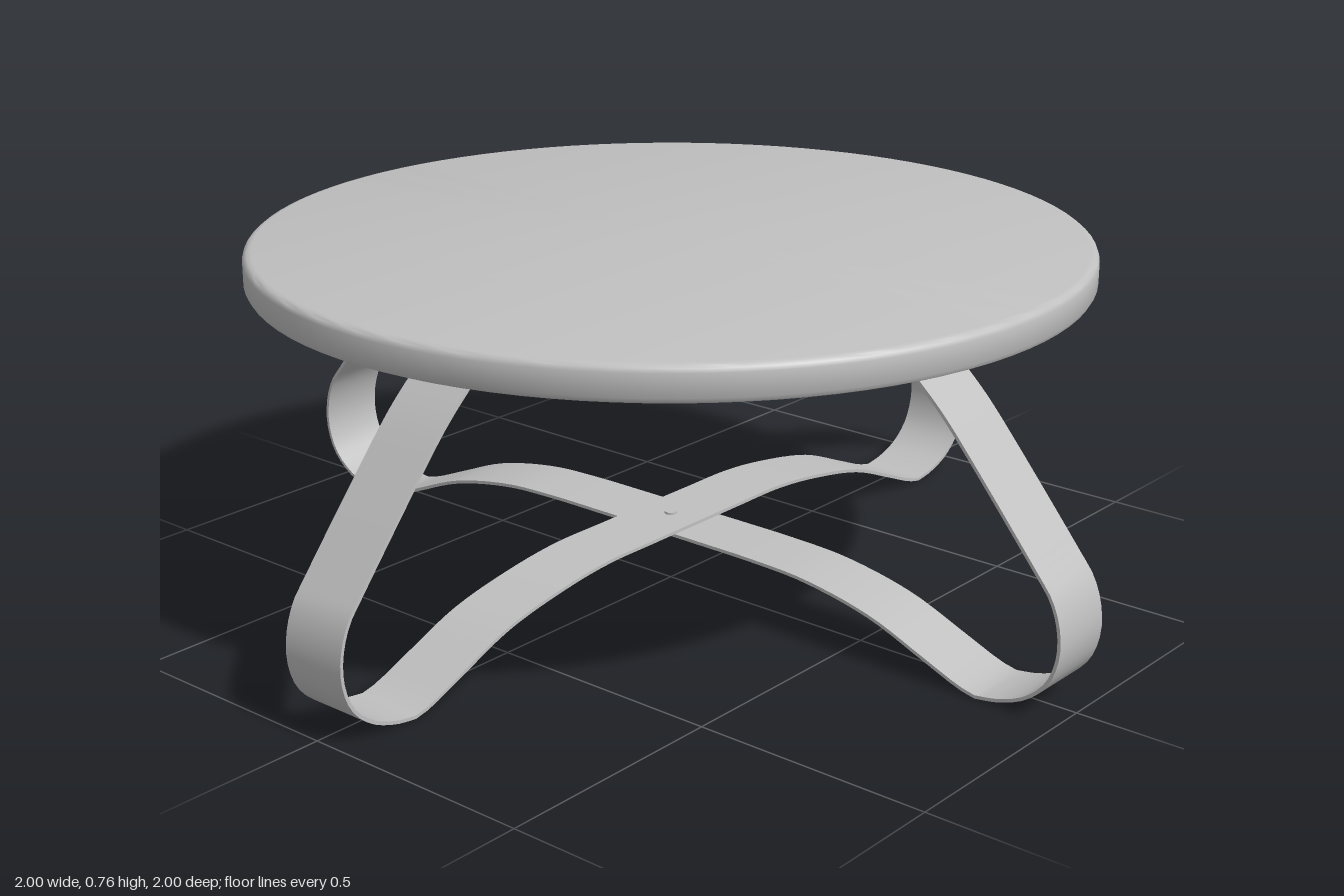
import * as THREE from 'three';
import { toCreasedNormals } from 'three/addons/utils/BufferGeometryUtils.js';

const WIDTH = 0.147, THICK = 0.007;
const grey = new THREE.MeshStandardMaterial({ color: 0xc0c0c0 });
grey.name = 'light grey';

function add(parent, name, geometry, x = 0, y = 0, z = 0) {
  const mesh = new THREE.Mesh(geometry, grey);
  mesh.name = name;
  mesh.position.set(x, y, z);
  parent.add(mesh);
  return mesh;
}

function smooth(points, divisions) {
  const curve = new THREE.CatmullRomCurve3(points.map(([x, y]) => new THREE.Vector3(x, y, 0)), false, 'centripetal');
  return curve.getSpacedPoints(divisions).map(p => new THREE.Vector2(p.x, p.y));
}

// Centre line of a whole bent strap, from one mounting end to the other
function strapPath(peak) {
  const arch = smooth([[0, peak], [0.14, peak], [0.28, peak - 0.001], [0.41, 0.13], [0.57, 0.098],
    [0.7, 0.047], [0.785, 0.013], [0.82, 0.005]], 28);
  const leg = smooth([[0.82, 0.005], [0.87, 0.013], [0.93, 0.037], [0.975, 0.08], [0.9955, 0.14], [0.992, 0.2],
    [0.973, 0.25], [0.945, 0.286], [0.745, 0.525], [0.705, 0.567], [0.65, 0.617], [0.58, 0.68]], 44);
  const half = [...arch, ...leg.slice(1), new THREE.Vector2(0.3, 0.68)];
  const mirrored = half.slice(1).reverse().map(p => new THREE.Vector2(-p.x, p.y));
  return [...mirrored, ...half];
}

// Flat band: the path is offset to both sides and extruded across its width
function strapGeometry(peak) {
  const path = strapPath(peak);
  const last = path.length - 1;
  const offset = side => path.map((p, i) => {
    const a = p.clone().sub(path[Math.max(i - 1, 0)]).normalize();
    const b = path[Math.min(i + 1, last)].clone().sub(p).normalize();
    const t = a.add(b).normalize();
    return new THREE.Vector2(p.x - t.y * side, p.y + t.x * side);
  });
  const outline = [...offset(THICK / 2), ...offset(-THICK / 2).reverse()];
  const geometry = new THREE.ExtrudeGeometry(new THREE.Shape(outline), { depth: WIDTH, bevelEnabled: false });
  geometry.translate(0, 0, -WIDTH / 2);
  return toCreasedNormals(geometry, 0.5);
}

export function createModel() {
  const table = new THREE.Group();
  table.name = 'roundTable';

  // Round top with softened edges
  const profile = [[0, 0.684], [0.846, 0.684], [0.855, 0.688], [0.86, 0.697], [0.86, 0.742],
    [0.857, 0.75], [0.851, 0.755], [0.842, 0.757], [0, 0.757]].map(([x, y]) => new THREE.Vector2(x, y));
  add(table, 'tableTop', toCreasedNormals(new THREE.LatheGeometry(profile, 96), 0.6));

  // Two crossing straps, one resting on the other, each with its screws
  const screw = new THREE.CylinderGeometry(0.013, 0.01, 0.01, 16);
  [0.145, 0.138].forEach((peak, i) => {
    const strap = new THREE.Group();
    strap.name = i ? 'lowerStrap' : 'upperStrap';
    strap.rotation.y = i * Math.PI / 2;
    add(strap, 'bentLegs', strapGeometry(peak));
    for (const x of [-0.46, -0.38, 0.38, 0.46]) add(strap, 'mountingScrew', screw, x, 0.672, 0);
    table.add(strap);
  });

  // Bolt and square washer where the straps cross
  add(table, 'centreBolt', new THREE.CylinderGeometry(0.013, 0.013, 0.03, 16), 0, 0.138, 0);
  add(table, 'squareWasher', new THREE.BoxGeometry(0.06, 0.005, 0.06), 0, 0.132, 0);
  return table;
}
